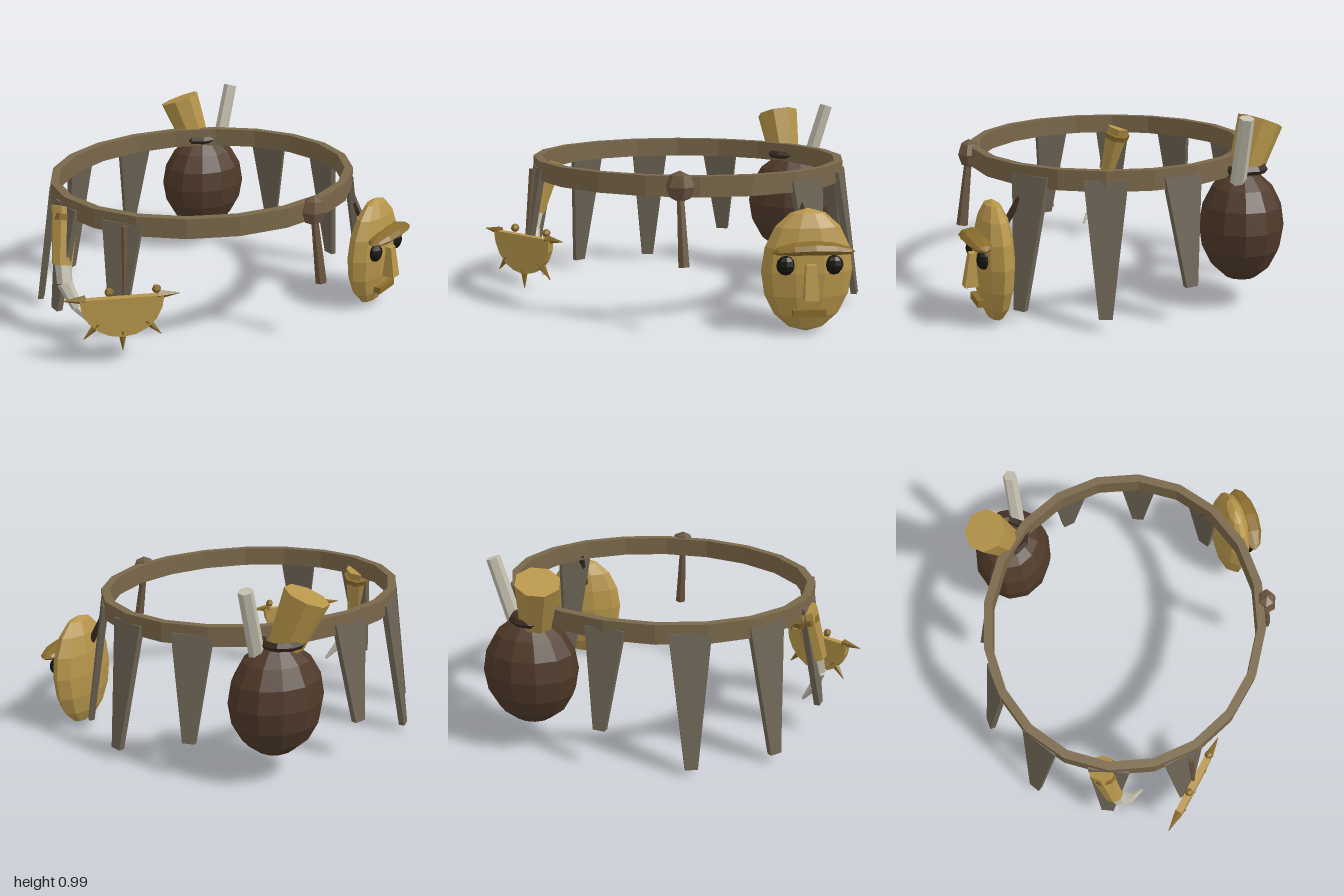
import * as THREE from 'three';

const V = (x, y, z) => new THREE.Vector3(x, y, z);
const mat = (color) => new THREE.MeshStandardMaterial({ color, flatShading: true });
const M = {
  wood: mat(0x79674a), stick: mat(0x6b5640), strip: mat(0x6d6455), gourd: mat(0x4f3929),
  cord: mat(0x3a2a20), gold: mat(0xb6954a), brow: mat(0x8a6c2c), bone: mat(0xc4c0b0), black: mat(0x17150f),
};

function add(parent, name, geometry, material, x = 0, y = 0, z = 0) {
  const mesh = new THREE.Mesh(geometry, material);
  mesh.name = name;
  mesh.position.set(x, y, z);
  parent.add(mesh);
  return mesh;
}

// Tapered rod from point a (radius ra) to point b (radius rb)
function rod(parent, name, a, b, ra, rb, material, sides = 6) {
  const mesh = add(parent, name, new THREE.CylinderGeometry(rb, ra, a.distanceTo(b), sides), material);
  mesh.position.copy(a).lerp(b, 0.5);
  mesh.quaternion.setFromUnitVectors(V(0, 1, 0), b.clone().sub(a).normalize());
  return mesh;
}

const ball = (rx, ry, rz, w, h) => new THREE.SphereGeometry(1, w, h).scale(rx, ry, rz);

// Belt outline: a 20-sided ellipse
const CX = 0.03, CZ = 0.04, RX = 0.83, RZ = 0.74, SIDES = 20;
const ellipse = (rx, rz) => Array.from({ length: SIDES }, (_, i) => {
  const a = (i / SIDES) * Math.PI * 2;
  return new THREE.Vector2(Math.cos(a) * rx, Math.sin(a) * rz);
});

function belt(g) {
  const shape = new THREE.Shape(ellipse(RX, RZ));
  shape.holes.push(new THREE.Path(ellipse(RX - 0.045, RZ - 0.045)));
  const geo = new THREE.ExtrudeGeometry(shape, { depth: 0.1, bevelEnabled: false });
  geo.rotateX(-Math.PI / 2);
  add(g, 'belt', geo, M.wood, CX, 0.665, CZ);
}

// Tapered hide strip hanging from the belt and flaring outward
function strip(g, degrees, bottom) {
  const a = THREE.MathUtils.degToRad(degrees), top = 0.72, h = top - bottom;
  const geo = new THREE.BoxGeometry(1, h, 0.03);
  const p = geo.attributes.position;
  for (let i = 0; i < p.count; i++) {
    const low = p.getY(i) < 0;
    p.setX(i, p.getX(i) * (low ? 0.065 : 0.21));
    p.setZ(i, p.getZ(i) + (low ? 0.13 * h + 0.015 : 0));
  }
  geo.translate(0, -h / 2, 0);
  const x = Math.cos(a), z = -Math.sin(a);
  const mesh = add(g, 'hideStrip', geo, M.strip, CX + x * (RX - 0.02), top, CZ + z * (RZ - 0.02));
  mesh.rotation.y = Math.atan2(x / RX, z / RZ);
}

function gourd(g) {
  add(g, 'gourdBody', ball(0.252, 0.285, 0.213, 12, 8), M.gourd, 0.475, 0.415, -0.632);
  const collar = add(g, 'gourdCollar', new THREE.TorusGeometry(0.1, 0.022, 5, 10), M.cord, 0.45, 0.7, -0.64);
  collar.rotation.x = Math.PI / 2;
  rod(g, 'gourdStopper', V(0.43, 0.67, -0.645), V(0.368, 0.925, -0.725), 0.085, 0.116, M.gold, 8);
  rod(g, 'boneHandle', V(0.565, 0.62, -0.6), V(0.668, 0.985, -0.628), 0.04, 0.037, M.bone, 6);
}

function mask(g) {
  const m = new THREE.Group();
  m.name = 'mask';
  m.position.set(0.775, 0.31, 0.585);
  m.rotation.y = 0.36;
  g.add(m);
  add(m, 'maskFace', ball(0.222, 0.302, 0.095, 10, 8), M.gold);
  const browGeo = new THREE.SphereGeometry(1, 8, 6).rotateZ(Math.PI / 2).scale(0.2, 0.034, 0.075);
  const bp = browGeo.attributes.position;
  for (let i = 0; i < bp.count; i++) bp.setY(i, bp.getY(i) - 0.5 * bp.getX(i) ** 2);
  add(m, 'maskBrow', browGeo, M.brow, 0.015, 0.125, 0.085);
  for (const s of [-1, 1]) add(m, 'maskEye', ball(0.046, 0.048, 0.035, 8, 6), M.black, s * 0.115, 0.04, 0.075);
  // Nose: widens and projects toward its lower end
  const nose = new THREE.BoxGeometry(0.05, 0.165, 0.06);
  const p = nose.attributes.position;
  for (let i = 0; i < p.count; i++) if (p.getY(i) < 0) {
    p.setX(i, p.getX(i) * 1.4);
    if (p.getZ(i) > 0) p.setZ(i, p.getZ(i) + 0.03);
  }
  add(m, 'maskNose', nose, M.gold, 0, -0.035, 0.09);
  add(m, 'maskMouth', new THREE.BoxGeometry(0.16, 0.034, 0.08), M.brow, 0, -0.19, 0.06);
  rod(g, 'maskCord', V(0.7, 0.69, 0.41), V(0.74, 0.46, 0.54), 0.018, 0.018, M.cord, 6);
}

function spikedPlate(g) {
  const m = new THREE.Group();
  m.name = 'spikedPlate';
  m.position.set(-0.735, 0.375, 0.485);
  m.rotation.y = -0.4;
  g.add(m);
  const pts = Array.from({ length: 11 }, (_, i) => {
    const a = Math.PI + (i / 10) * Math.PI;
    return new THREE.Vector2(Math.cos(a) * 0.205, Math.sin(a) * 0.205);
  });
  const geo = new THREE.ExtrudeGeometry(new THREE.Shape(pts), { depth: 0.036, bevelEnabled: false });
  add(m, 'plate', geo.translate(0, 0, -0.018), M.gold);
  // Spikes around the curved edge, including both corners
  for (const d of [180, 228, 270, 312, 360]) {
    const a = THREE.MathUtils.degToRad(d), dir = V(Math.cos(a), Math.sin(a), 0);
    rod(m, 'plateSpike', dir.clone().multiplyScalar(0.175), dir.clone().multiplyScalar(0.285), 0.024, 0.002, M.brow, 5);
  }
  for (const x of [-0.06, 0.17]) add(m, 'plateKnob', ball(0.023, 0.023, 0.023, 6, 4), M.brow, x, 0.03, 0);
  rod(g, 'plateCord', V(-0.69, 0.72, 0.45), V(-0.715, 0.38, 0.48), 0.018, 0.01, M.stick, 5);
}

function tusk(g) {
  rod(g, 'tuskSheath', V(-0.775, 0.7, 0), V(-0.84, 0.42, 0.07), 0.072, 0.052, M.gold, 8);
  rod(g, 'sheathBand', V(-0.776, 0.66, 0.01), V(-0.785, 0.63, 0.018), 0.078, 0.076, M.brow, 8);
  const path = [V(-0.83, 0.46, 0.06), V(-0.845, 0.33, 0.1), V(-0.81, 0.21, 0.155), V(-0.735, 0.1, 0.215)];
  const r = [0.045, 0.04, 0.028, 0.008];
  for (let i = 0; i < 3; i++) rod(g, 'tusk', path[i], path[i + 1], r[i], r[i + 1], M.bone, 6);
}

function club(g) {
  add(g, 'clubHead', ball(0.072, 0.077, 0.06, 6, 4), M.stick, 0.197, 0.718, 0.772);
  rod(g, 'clubShaft', V(0.198, 0.7, 0.775), V(0.228, 0.34, 0.815), 0.018, 0.03, M.stick, 6);
}

export function createModel() {
  const g = new THREE.Group();
  g.name = 'trophyBelt';
  belt(g);
  const strips = [[0, 0.07], [30, 0.19], [90, 0.21], [120, 0.04], [150, 0.05], [180, 0.17], [210, 0.17], [330, 0.07]];
  for (const [degrees, bottom] of strips) strip(g, degrees, bottom);
  gourd(g);
  mask(g);
  spikedPlate(g);
  tusk(g);
  club(g);
  return g;
}
